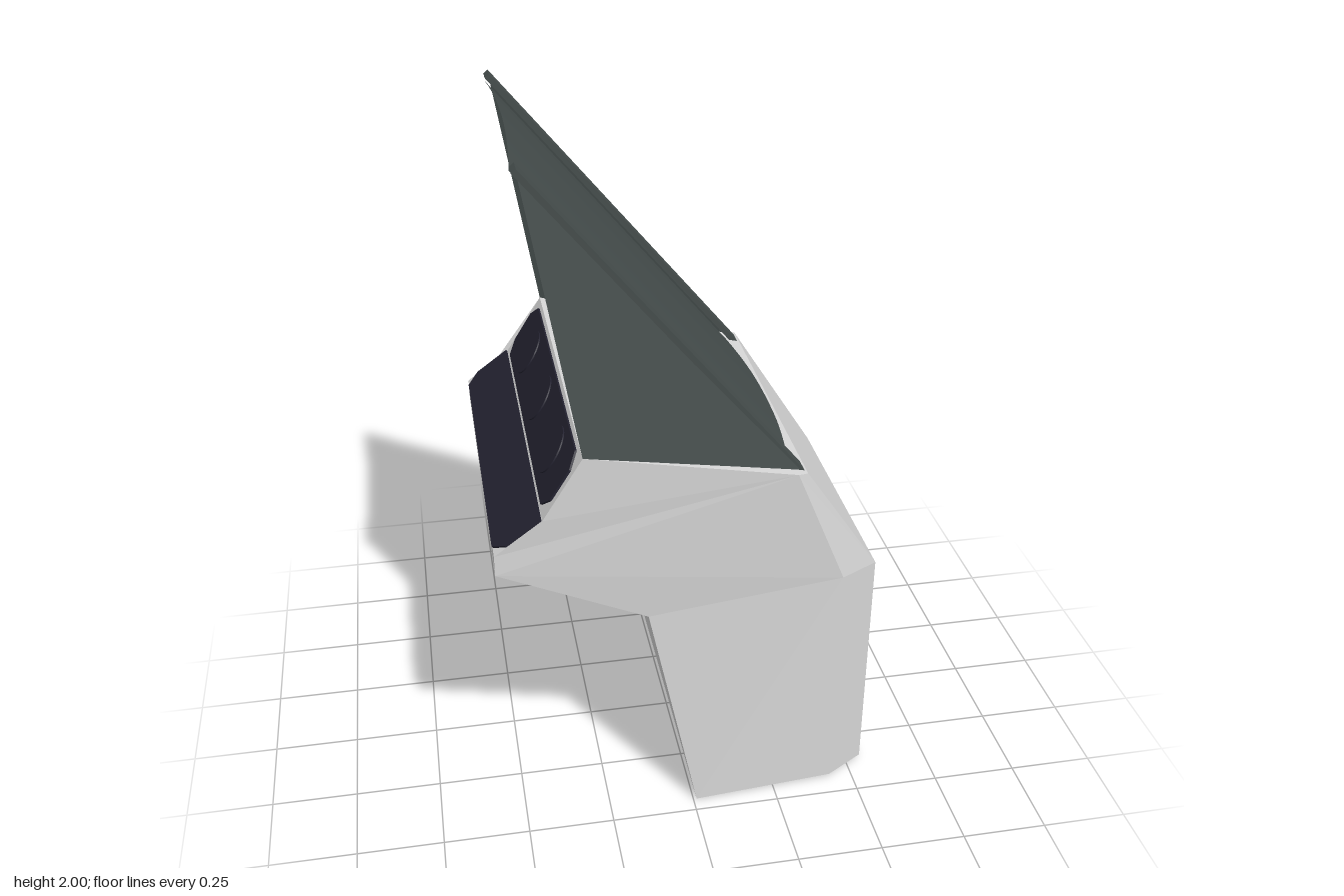
import * as THREE from 'three';

const bodyGrey = new THREE.MeshStandardMaterial({ color: 0xd6d6d6 });
bodyGrey.name = 'bodyGrey';
const hoodSlate = new THREE.MeshStandardMaterial({ color: 0x454d4c, side: THREE.DoubleSide });
hoodSlate.name = 'hoodSlate';
const panelNavy = new THREE.MeshStandardMaterial({ color: 0x232230 });
panelNavy.name = 'panelNavy';

// Flat-faced geometry from convex polygons
function polygons(faces) {
  const pos = [];
  for (const f of faces)
    for (let i = 1; i < f.length - 1; i++) pos.push(...f[0], ...f[i], ...f[i + 1]);
  const g = new THREE.BufferGeometry();
  g.setAttribute('position', new THREE.Float32BufferAttribute(pos, 3));
  g.computeVertexNormals();
  return g;
}

const mirror = ([x, y, z]) => [x, y, -z];

function addMesh(parent, name, geometry, material, x = 0, y = 0, z = 0) {
  const m = new THREE.Mesh(geometry, material);
  m.name = name;
  m.position.set(x, y, z);
  parent.add(m);
  return m;
}

// Group lying on the slope between two profile points; local z points outwards
function slopeGroup(name, low, high, uSign) {
  const g = new THREE.Group();
  g.name = name;
  const v = new THREE.Vector3(high[0] - low[0], high[1] - low[1], 0).normalize();
  const u = new THREE.Vector3(0, 0, uSign);
  const n = new THREE.Vector3().crossVectors(u, v);
  g.setRotationFromMatrix(new THREE.Matrix4().makeBasis(u, v, n));
  g.position.set((low[0] + high[0]) / 2, (low[1] + high[1]) / 2, 0);
  return g;
}

// Thin plate with cut corners
function plate(w, h, cutTop, cutBottom) {
  const s = new THREE.Shape([
    [-w + cutBottom, -h], [w - cutBottom, -h], [w, -h + cutBottom], [w, h - cutTop],
    [w - cutTop, h], [-w + cutTop, h], [-w, h - cutTop], [-w, -h + cutBottom],
  ].map(([x, y]) => new THREE.Vector2(x, y)));
  return new THREE.ExtrudeGeometry(s, { depth: 0.006, bevelEnabled: false });
}

export function createModel() {
  const model = new THREE.Group();
  model.name = 'console';

  // Pedestal and head: corners of one side, mirrored across z
  const A = [0.01, 0, 0.455], B = [0.43, 0.012, 0.435], C = [0.545, 0.015, 0.37];
  const D = [0.545, 0.74, 0.37], E = [0.43, 0.745, 0.435], F = [-0.135, 0.705, 0.465];
  const G = [0.305, 1.11, 0.45], G2 = [0.275, 1.117, 0.465], H = [-0.31, 1.255, 0.512];
  const I = [-0.42, 1.08, 0.512], J = [-0.55, 0.985, 0.512], K = [-0.55, 0.925, 0.512];
  const side = [[A, B, E, F], [B, C, D, E], [D, G, G2, E], [F, E, K], [E, G2, K], [G2, H, I, J, K]];
  const faces = [...side, ...side.map((f) => f.map(mirror).reverse())];
  const rim = [A, B, C, D, G, G2, H, I, J, K, F];
  rim.forEach((p, i) => {
    const q = rim[(i + 1) % rim.length];
    faces.push([p, mirror(p), mirror(q), q]);
  });
  addMesh(model, 'body', polygons(faces), bodyGrey);

  // Rear control panels
  const upper = slopeGroup('upperControlPanel', I, H, 1);
  addMesh(upper, 'upperPlate', plate(0.49, 0.09, 0.04, 0.04), panelNavy);
  for (const u of [-0.3, 0, 0.3]) {
    const dial = new THREE.CylinderGeometry(0.07, 0.07, 0.004, 24).rotateX(Math.PI / 2);
    addMesh(upper, 'dial', dial, panelNavy, u, 0, 0.008);
  }
  const lower = slopeGroup('lowerControlPanel', J, I, 1);
  addMesh(lower, 'lowerPlate', plate(0.51, 0.079, 0, 0.04), panelNavy);
  model.add(upper, lower);

  // Sloping hood: bowed sheet between two rails
  const foot = [0.3, 1.11], tip = [-0.435, 2.0];
  const length = Math.hypot(foot[0] - tip[0], foot[1] - tip[1]);
  const hood = slopeGroup('hood', foot, tip, -1);
  const sheet = new THREE.PlaneGeometry(0.78, length - 0.012, 20, 1);
  const p = sheet.attributes.position;
  for (let i = 0; i < p.count; i++) p.setZ(i, -0.022 * (p.getX(i) / 0.39) ** 2);
  sheet.computeVertexNormals();
  addMesh(hood, 'hoodSheet', sheet, hoodSlate);
  for (const s of [-1, 1])
    addMesh(hood, 'hoodRail', new THREE.BoxGeometry(0.05, length, 0.016), hoodSlate, s * 0.41, 0, -0.008);
  model.add(hood);

  // Triangular hood cheeks
  const cheek = [[0.295, 1.113, 0.434], [-0.435, 1.99, 0.43], H];
  addMesh(model, 'leftHoodCheek', polygons([cheek]), hoodSlate);
  addMesh(model, 'rightHoodCheek', polygons([cheek.map(mirror).reverse()]), hoodSlate);

  return model;
}
